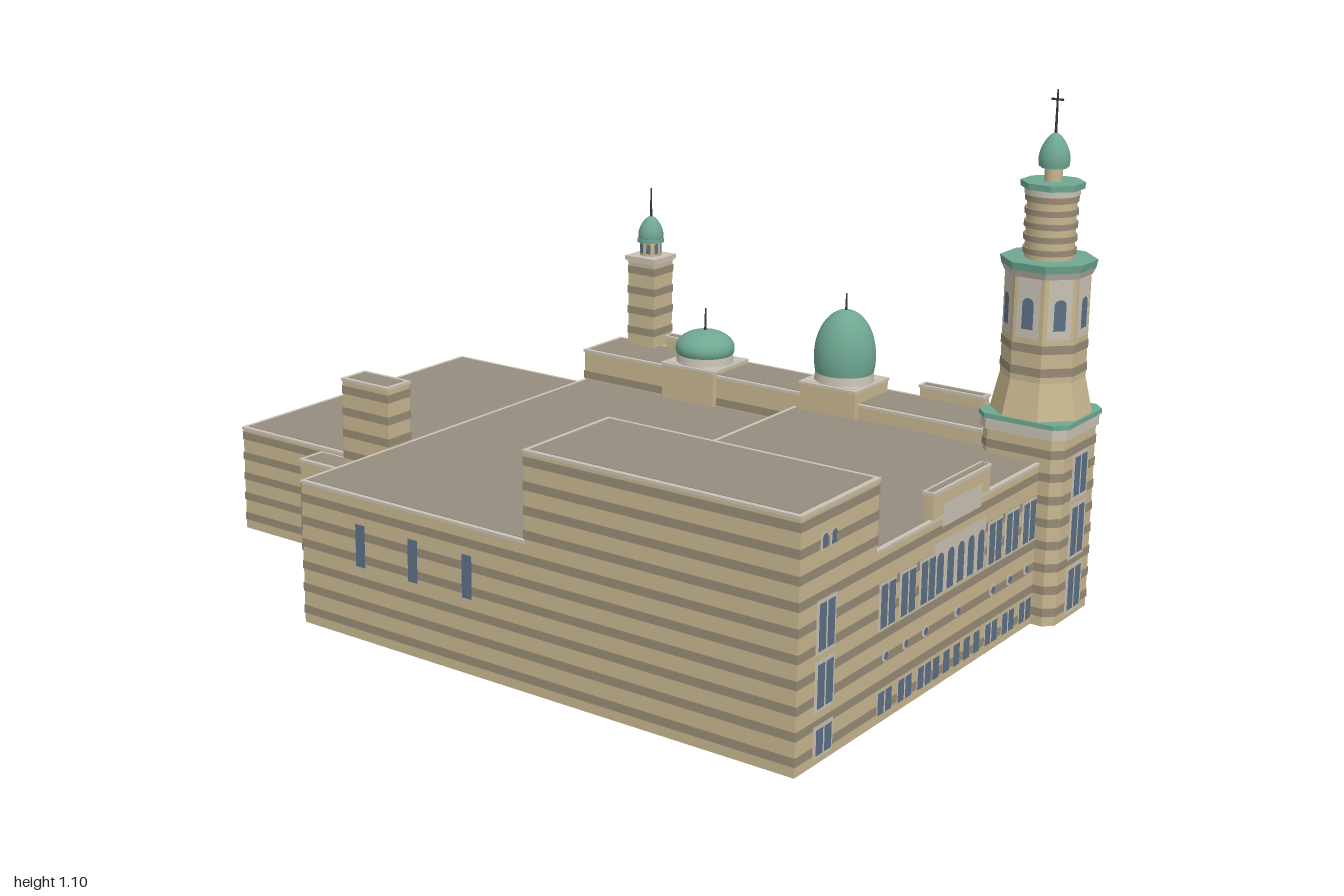
import * as THREE from 'three';

const mat = (name, color) => {
  const m = new THREE.MeshStandardMaterial({ color, side: THREE.DoubleSide });
  m.name = name;
  return m;
};

export function createModel() {
  const model = new THREE.Group();
  const stone = mat('sandstone', 0xc8b78f), stripe = mat('dark stone course', 0x988b76);
  const trim = mat('pale trim', 0xc9c2b4), roofMat = mat('roof', 0x968d80);
  const glass = mat('blue glass', 0x5d7085), copper = mat('green copper', 0x6fa892);
  const iron = mat('iron', 0x35393a);
  const PERIOD = 0.0487, COURSE = 0.018;

  const add = (name, geo, m, x = 0, y = 0, z = 0, parent = model) => {
    const mesh = new THREE.Mesh(geo, m);
    mesh.name = name;
    mesh.position.set(x, y, z);
    parent.add(mesh);
    return mesh;
  };

  // Four walls of a box, without top or bottom
  const walls = (w, h, d) => {
    const g = new THREE.BoxGeometry(w, h, d);
    const i = Array.from(g.index.array);
    g.clearGroups();
    g.setIndex([...i.slice(0, 12), ...i.slice(24, 36)]);
    return g;
  };

  // Striped building block, open below, with rimmed flat roof
  function block(name, x0, x1, z0, z1, h, { y0 = 0, striped = true, top = roofMat, rim = 0.008 } = {}) {
    const g = new THREE.Group();
    g.name = name;
    model.add(g);
    const w = x1 - x0, d = z1 - z0, cx = (x0 + x1) / 2, cz = (z0 + z1) / 2;
    add('walls', walls(w, h - y0, d), stone, cx, (h + y0) / 2, cz, g);
    if (striped) for (let y = 0.03; y < h - 0.02; y += PERIOD)
      if (y > y0) add('course', walls(w + 0.003, COURSE, d + 0.003), stripe, cx, y, cz, g);
    add('rim', new THREE.BoxGeometry(w + 0.005, 0.006, d + 0.005), trim, cx, h - 0.003, cz, g);
    add('roof', new THREE.BoxGeometry(w - 2 * rim, 0.009, d - 2 * rim), top, cx, h - 0.0035, cz, g);
    return g;
  }

  // Thin plate on a wall; angle is the wall's heading around y
  function plate(name, shape, m, angle, x, y, z, lift, parent = model) {
    const p = add(name, new THREE.ShapeGeometry(shape, 10), m,
      x + Math.sin(angle) * lift, y, z + Math.cos(angle) * lift, parent);
    p.rotation.y = angle;
    return p;
  }
  const rect = (w, h) => new THREE.Shape([[-w / 2, 0], [w / 2, 0], [w / 2, h], [-w / 2, h]]
    .map(p => new THREE.Vector2(...p)));
  const arch = (w, h) => {
    const s = new THREE.Shape();
    s.moveTo(-w / 2, 0).lineTo(w / 2, 0).lineTo(w / 2, h - w / 2);
    s.absarc(0, h - w / 2, w / 2, 0, Math.PI);
    return s;
  };
  const disc = r => new THREE.Shape().absarc(0, 0, r, 0, Math.PI * 2);

  const SIDES = { front: 0, left: Math.PI / 2, back: Math.PI, right: -Math.PI / 2 };
  function onWall(side, wall, name, shape, m, u, y, lift = 0.005) {
    const alongX = side === 'front' || side === 'back';
    plate(name, shape, m, SIDES[side], alongX ? u : wall, y, alongX ? wall : u, lift);
  }
  function pair(wall, u, y, w, h, border) {
    onWall('front', wall, 'windowFrame', rect(w * 2 + 0.005 + border * 2, h + border * 2), trim, u, y - border, 0.003);
    for (const s of [-1, 1]) onWall('front', wall, 'window', rect(w, h), glass, u + s * (w / 2 + 0.0025), y);
  }

  // Main masses
  block('frontHall', -0.305, 0.39, 0.34, 0.95, 0.35);
  block('frontLeftBlock', -0.57, -0.305, 0.34, 0.95, 0.49);
  block('middleHall', -0.57, 0.39, -0.245, 0.34, 0.31);
  block('rearHall', -0.235, 0.54, -0.76, -0.245, 0.245);
  block('rearAnnex', 0.29, 0.437, -1, -0.76, 0.095);
  block('chimneyBlock', -0.305, -0.235, -0.375, -0.245, 0.445);
  block('lowSideBlock', -0.305, -0.235, -0.51, -0.375, 0.235);
  block('sideWing', 0.385, 0.527, -0.245, 0.8, 0.383);
  block('frontParapet', -0.1, 0.127, 0.93, 0.951, 0.405, { y0: 0.34, striped: false, rim: 0.004 });

  // Front facade
  const F = 0.95;
  onWall('front', F, 'parapetPanel', rect(0.155, 0.047), trim, 0.012, 0.328, 0.004);
  for (const [y, h] of [[0.22, 0.09], [0.11, 0.085], [0.02, 0.05]]) pair(F, -0.481, y, 0.024, h, 0.007);
  for (const x of [-0.495, -0.464]) {
    onWall('front', F, 'smallArchFrame', arch(0.026, 0.033), trim, x, 0.409, 0.003);
    onWall('front', F, 'smallArchWindow', arch(0.018, 0.027), glass, x, 0.412);
  }
  const bays = [-0.265, -0.19, -0.115, 0.157, 0.23, 0.305];
  for (const x of bays) {
    pair(F, x, 0.193, 0.024, 0.085, 0.005);
    pair(F, x, 0.02, 0.023, 0.045, 0);
  }
  for (const x of [...bays, 0.013]) {
    onWall('front', F, 'roundelFrame', disc(0.0125), trim, x, 0.133, 0.003);
    onWall('front', F, 'roundel', disc(0.008), glass, x, 0.133);
  }
  onWall('front', F, 'arcadePanel', rect(0.205, 0.107), trim, 0.012, 0.193, 0.0035);
  for (let i = -2; i <= 2; i++) {
    onWall('front', F, 'arcadeWindow', arch(0.026, 0.082), glass, 0.013 + i * 0.041, 0.196);
    onWall('front', F, 'lowerWindow', rect(0.025, 0.045), glass, 0.013 + i * 0.041, 0.02);
  }

  // Side wing windows
  for (const z of [0.557, 0.42, 0.29, 0.155, 0.09])
    for (const [y, h] of [[0.2, 0.07], [0.105, 0.09], [0.02, 0.045]]) {
      onWall('left', 0.527, 'windowFrame', rect(0.034, h + 0.008), trim, z, y - 0.004, 0.003);
      onWall('left', 0.527, 'window', rect(0.025, h), glass, z, y);
    }

  // Two arched portals on the side wing
  for (const z of [0.655, -0.025]) {
    const P = 0.54;
    block('portal', 0.515, P, z - 0.077, z + 0.077, 0.412, { rim: 0.005 });
    onWall('left', P, 'portalCap', rect(0.12, 0.045), trim, z, 0.345, 0.003);
    onWall('left', P, 'portalPanel', rect(0.116, 0.26), trim, z, 0.075, 0.003);
    onWall('left', P, 'portalArch', arch(0.086, 0.087), glass, z, 0.085);
    onWall('left', P, 'portalDoor', rect(0.066, 0.05), stripe, z, 0, 0.004);
    for (const s of [-1, 0, 1]) {
      onWall('left', P, 'portalWindow', arch(0.025, 0.068), glass, z + s * 0.033, 0.207);
      onWall('left', P, 'portalRoundel', disc(0.008), glass, z + s * 0.027, 0.308);
    }
  }

  // Rear and far side windows
  for (let i = 0; i < 8; i++) for (const y of [0.04, 0.14])
    onWall('back', -0.76, 'rearWindow', rect(0.028, 0.06), glass, -0.195 + i * 0.1, y);
  for (const z of [-0.08, 0.06, 0.2])
    onWall('right', -0.57, 'farWindow', rect(0.025, 0.09), glass, z, 0.16);
  onWall('left', 0.437, 'annexDoor', rect(0.04, 0.045), stripe, -0.875, 0);

  // Copper dome with iron finial, turned on a lathe
  function dome(name, x, y, z, r, h, spike, pointed) {
    const pts = [];
    for (let i = 0; i <= 16; i++) {
      const t = i / 16, a = -0.35 + t * (Math.PI / 2 + 0.35);
      const v = (Math.sin(a) + 0.343) / 1.343;
      pts.push(new THREE.Vector2(Math.max(0.0001, r * Math.cos(a) * (pointed ? 1 - 0.3 * v * v : 1)), h * v));
    }
    add(name, new THREE.LatheGeometry(pts, 28), copper, x, y, z);
    add(name + 'Finial', new THREE.CylinderGeometry(0.0018, 0.003, spike, 8), iron, x, y + h + spike / 2 - 0.004, z);
  }

  // Wing domes on square plinths
  for (const [z, top, h, spike] of [[0.43, 0.425, 0.14, 0.04], [0.06, 0.405, 0.055, 0.055]]) {
    block('domePlinth', 0.37, 0.51, z - 0.07, z + 0.07, top - 0.01, { y0: 0.3, striped: false, top: trim });
    add('domeDrum', new THREE.CylinderGeometry(0.064, 0.066, 0.02, 28), trim, 0.44, top, z);
    dome('wingDome', 0.44, top + 0.008, z, 0.068, h, spike, false);
  }

  // Slim side minaret
  const mx = 0.525, mz = -0.157;
  block('sideMinaret', mx - 0.037, mx + 0.037, mz - 0.037, mz + 0.037, 0.59);
  add('minaretCornice', new THREE.BoxGeometry(0.086, 0.01, 0.086), trim, mx, 0.594, mz);
  add('minaretLantern', new THREE.CylinderGeometry(0.024, 0.026, 0.035, 8), stone, mx, 0.616, mz);
  for (let i = 0; i < 8; i++) {
    const a = i * Math.PI / 4 + Math.PI / 8;
    plate('lanternWindow', arch(0.01, 0.024), glass, a, mx, 0.605, mz, 0.025);
  }
  add('lanternCornice', new THREE.CylinderGeometry(0.032, 0.032, 0.008, 16), copper, mx, 0.635, mz);
  dome('minaretDome', mx, 0.637, mz, 0.03, 0.055, 0.07, true);
  for (const y of [0.4, 0.26, 0.115]) onWall('left', mx + 0.037, 'minaretWindow', rect(0.016, 0.048), glass, mz, y);

  // Great corner tower
  const tower = new THREE.Group();
  tower.name = 'greatTower';
  tower.position.set(0.436, 0, 0.903);
  model.add(tower);
  const chamfered = (name, half, c, y, h, m) => {
    const k = half - c;
    const s = new THREE.Shape([[half, -k], [half, k], [k, half], [-k, half], [-half, k], [-half, -k], [-k, -half], [k, -half]]
      .map(p => new THREE.Vector2(...p)));
    const g = new THREE.ExtrudeGeometry(s, { depth: h, bevelEnabled: false });
    add(name, g.rotateX(-Math.PI / 2), m, 0, y, 0, tower);
  };
  const octagon = (name, rTop, rBase, y, h, m) => {
    const f = 1 / Math.cos(Math.PI / 8);
    const g = new THREE.CylinderGeometry(rTop * f, rBase * f, h, 8, 1, false, Math.PI / 8).toNonIndexed();
    g.computeVertexNormals();
    add(name, g, m, 0, y + h / 2, 0, tower);
  };
  const round = (name, r, y, h, m) =>
    add(name, new THREE.CylinderGeometry(r, r, h, 28), m, 0, y + h / 2, 0, tower);

  // Base with striped front and plain side panel
  chamfered('towerBase', 0.092, 0.02, 0, 0.402, stone);
  for (let y = 0.021; y < 0.39; y += PERIOD) chamfered('towerCourse', 0.0935, 0.02, y, COURSE, stripe);
  plate('plainSide', rect(0.142, 0.365), stone, Math.PI / 2, 0, 0, 0, 0.0955, tower);
  plate('sideSlot', rect(0.05, 0.007), glass, Math.PI / 2, 0, 0.353, 0, 0.097, tower);
  for (const [y, h] of [[0.27, 0.085], [0.14, 0.105], [0.02, 0.09]]) {
    plate('towerWindowFrame', rect(0.074, h + 0.016), trim, 0, 0, y - 0.008, 0, 0.0955, tower);
    for (const s of [-1, 1]) plate('towerWindow', rect(0.026, h), glass, 0, s * 0.0155, y, 0, 0.097, tower);
  }
  chamfered('towerCollar', 0.097, 0.022, 0.402, 0.024, trim);
  chamfered('lowerCornice', 0.101, 0.024, 0.426, 0.01, copper);

  // Octagonal belfry
  octagon('towerSkirt', 0.08, 0.096, 0.436, 0.076, stone);
  octagon('belfry', 0.08, 0.08, 0.512, 0.225, stone);
  for (const y of [0.525, 0.573]) octagon('belfryCourse', 0.0815, 0.0815, y, COURSE, stripe);
  for (let i = 0; i < 8; i++) {
    const a = i * Math.PI / 4;
    plate('belfryPanel', rect(0.05, 0.125), trim, a, 0, 0.603, 0, 0.082, tower);
    plate('belfryWindow', arch(0.025, 0.065), glass, a, 0, 0.622, 0, 0.084, tower);
  }
  octagon('belfryCollar', 0.088, 0.082, 0.728, 0.014, trim);
  octagon('upperCornice', 0.091, 0.088, 0.742, 0.016, copper);

  // Round striped drum, lantern and pointed dome
  round('drum', 0.05, 0.757, 0.14, stone);
  for (let i = 0; i < 5; i++) round('drumCourse', 0.054, 0.768 + i * 0.027, 0.012, stripe);
  round('drumCollar', 0.056, 0.89, 0.012, trim);
  octagon('drumCornice', 0.06, 0.059, 0.902, 0.013, copper);
  round('lantern', 0.018, 0.915, 0.03, stone);
  round('lanternRing', 0.026, 0.942, 0.005, copper);
  dome('towerDome', 0.436, 0.945, 0.903, 0.032, 0.068, 0.091, true);
  add('finialCrossbar', new THREE.BoxGeometry(0.004, 0.004, 0.026), iron, 0, 1.08, 0, tower);

  return model;
}
